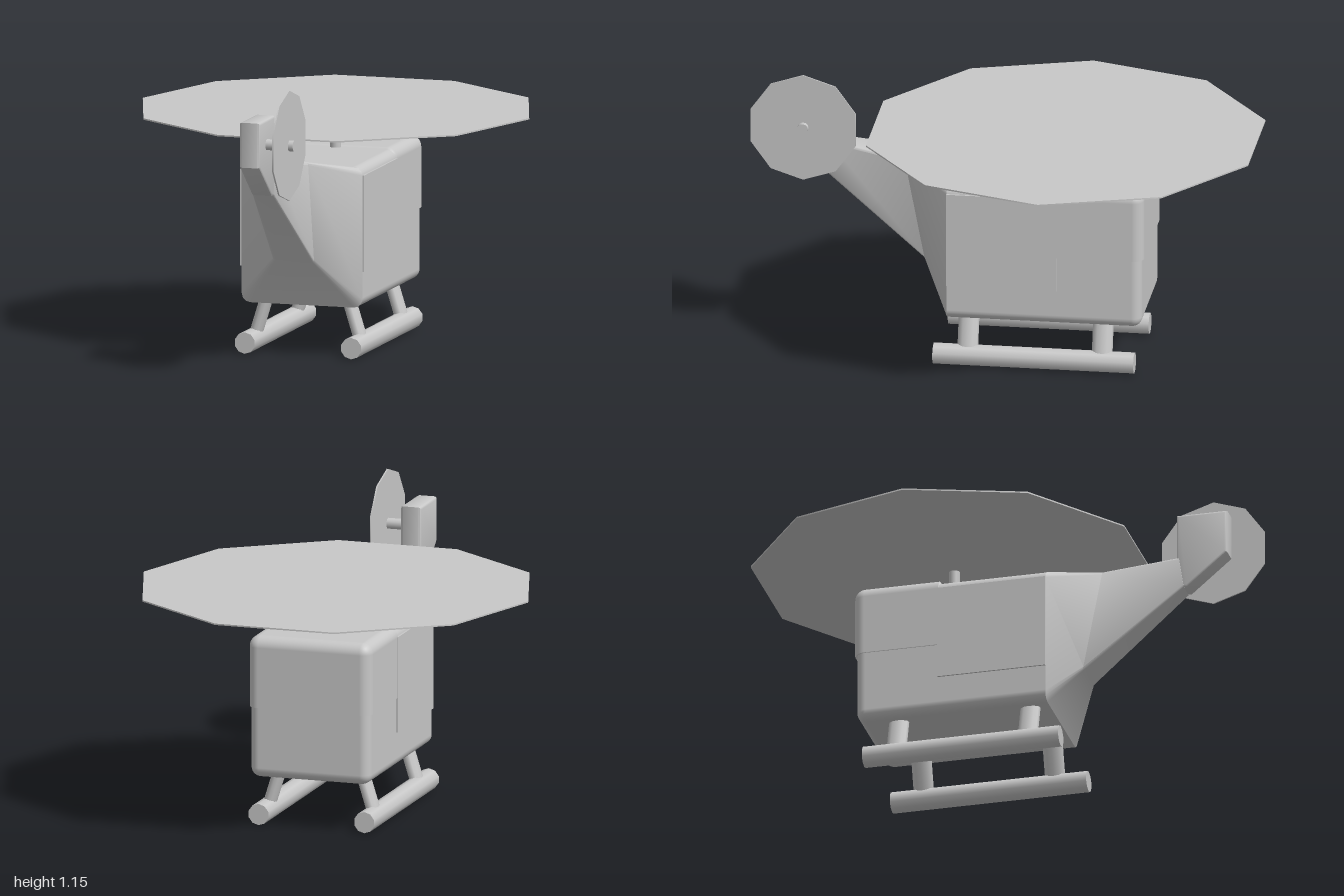
import * as THREE from 'three';
import { toCreasedNormals } from 'three/addons/utils/BufferGeometryUtils.js';
import { RoundedBoxGeometry } from 'three/addons/geometries/RoundedBoxGeometry.js';

const grey = new THREE.MeshStandardMaterial({ color: 0xc8c8c8 });
grey.name = 'plain grey';

export function createModel() {
  const root = new THREE.Group();
  root.name = 'helicopter';

  const add = (name, geometry, x = 0, y = 0, z = 0) => {
    const mesh = new THREE.Mesh(geometry, grey);
    mesh.name = name;
    mesh.position.set(x, y, z);
    root.add(mesh);
    return mesh;
  };

  // Rounded box between two corners, cut off flat at zMax and yMin
  const cutBox = (hw, y0, y1, z0, z1, r, zMax, yMin) => {
    const g = new RoundedBoxGeometry(2 * hw, y1 - y0, z1 - z0, 4, r);
    g.translate(0, (y0 + y1) / 2, (z0 + z1) / 2);
    const p = g.attributes.position;
    for (let i = 0; i < p.count; i++) {
      p.setY(i, Math.max(p.getY(i), yMin));
      p.setZ(i, Math.min(p.getZ(i), zMax));
    }
    return g;
  };

  // Rounded rectangular section, leaning from zb at the bottom to zt at the top
  const section = ({ hw, yb, yt, zb, zt, r }) => {
    const points = [];
    const corners = [[1, 1], [-1, 1], [-1, -1], [1, -1]];
    corners.forEach(([sx, sy], c) => {
      for (let i = 0; i <= 3; i++) {
        const a = (c + i / 3) * Math.PI / 2;
        const x = sx * (hw - r) + r * Math.cos(a);
        const y = (sy > 0 ? yt - r : yb + r) + r * Math.sin(a);
        points.push([x, y, zb + (zt - zb) * (y - yb) / (yt - yb)]);
      }
    });
    return points;
  };

  // Skin stretched over a row of sections, with the last one capped
  const loft = (sections) => {
    const rings = sections.map(section);
    const n = rings[0].length;
    const index = [];
    for (let k = 0; k < rings.length - 1; k++) {
      for (let i = 0; i < n; i++) {
        const a = k * n + i, b = k * n + (i + 1) % n;
        index.push(a, b, b + n, a, b + n, a + n);
      }
    }
    const last = (rings.length - 1) * n;
    for (let i = 1; i < n - 1; i++) index.push(last, last + i, last + i + 1);
    const g = new THREE.BufferGeometry();
    g.setAttribute('position', new THREE.Float32BufferAttribute(rings.flat(2), 3));
    g.setIndex(index);
    return toCreasedNormals(g, 0.6);
  };

  // Cabin and the slightly raised windscreen shell around its nose
  add('cabin', cutBox(0.25, 0.2, 0.763, -0.575, 0.28, 0.04, 0.2, 0.2));
  add('windscreen', cutBox(0.256, 0.2, 0.773, -0.583, 0, 0.045, -0.235, 0.485));

  // Tail boom narrowing from the cabin
  add('tailBoom', loft([
    { hw: 0.25, yb: 0.2, yt: 0.763, zb: 0.2, zt: 0.2, r: 0.035 },
    { hw: 0.085, yb: 0.39, yt: 0.805, zb: 0.31, zt: 0.39, r: 0.012 },
    { hw: 0.045, yb: 0.72, yt: 0.85, zb: 0.71, zt: 0.69, r: 0.01 },
  ]));

  // Upright fin with a slanted foot
  const fin = new THREE.Shape();
  [[0.69, 0.73], [0.72, 0.73], [0.875, 0.86], [0.875, 1.025], [0.69, 1.025]]
    .forEach(([z, y], i) => (i ? fin.lineTo(-z, y) : fin.moveTo(-z, y)));
  const finGeo = new THREE.ExtrudeGeometry(fin, {
    depth: 0.064, bevelSize: 0.01, bevelThickness: 0.01, bevelSegments: 2,
  });
  finGeo.translate(0, 0, -0.032).rotateY(Math.PI / 2);
  add('tailFin', toCreasedNormals(finGeo, 0.8));

  // Main rotor: ten-sided disc on a mast
  add('mainMast', new THREE.CylinderGeometry(0.022, 0.022, 0.18, 12), 0, 0.825, -0.235);
  const disc = new THREE.CylinderGeometry(0.8, 0.8, 0.006, 10);
  disc.rotateY(Math.PI / 2);
  add('mainRotor', disc, 0, 0.915, -0.24);

  // Tail rotor: ten-sided disc on a sideways shaft
  const shaft = new THREE.CylinderGeometry(0.022, 0.022, 0.125, 12).rotateZ(Math.PI / 2);
  add('tailShaft', shaft, 0.0925, 0.936, 0.787);
  const smallDisc = new THREE.CylinderGeometry(0.22, 0.22, 0.006, 10);
  smallDisc.rotateY(Math.PI / 2).rotateZ(Math.PI / 2);
  add('tailRotor', smallDisc, 0.132, 0.936, 0.787);

  // Doors, skids and struts on both sides
  for (const [side, s] of [['left', 1], ['right', -1]]) {
    add(side + 'Door', new THREE.BoxGeometry(0.009, 0.385, 0.44), s * 0.2525, 0.5375, -0.02);

    const skid = new THREE.CylinderGeometry(0.043, 0.043, 0.8, 10).rotateX(Math.PI / 2);
    add(side + 'Skid', skid, s * 0.22, 0.045, -0.145);

    for (const [end, z] of [['Rear', 0.12], ['Front', -0.415]]) {
      const strut = new THREE.CylinderGeometry(0.025, 0.025, 0.19, 12);
      strut.scale(1, 1, 1.65).rotateZ(s * 0.3);
      add(side + end + 'Strut', strut, s * 0.193, 0.14, z);
    }
  }

  return root;
}
